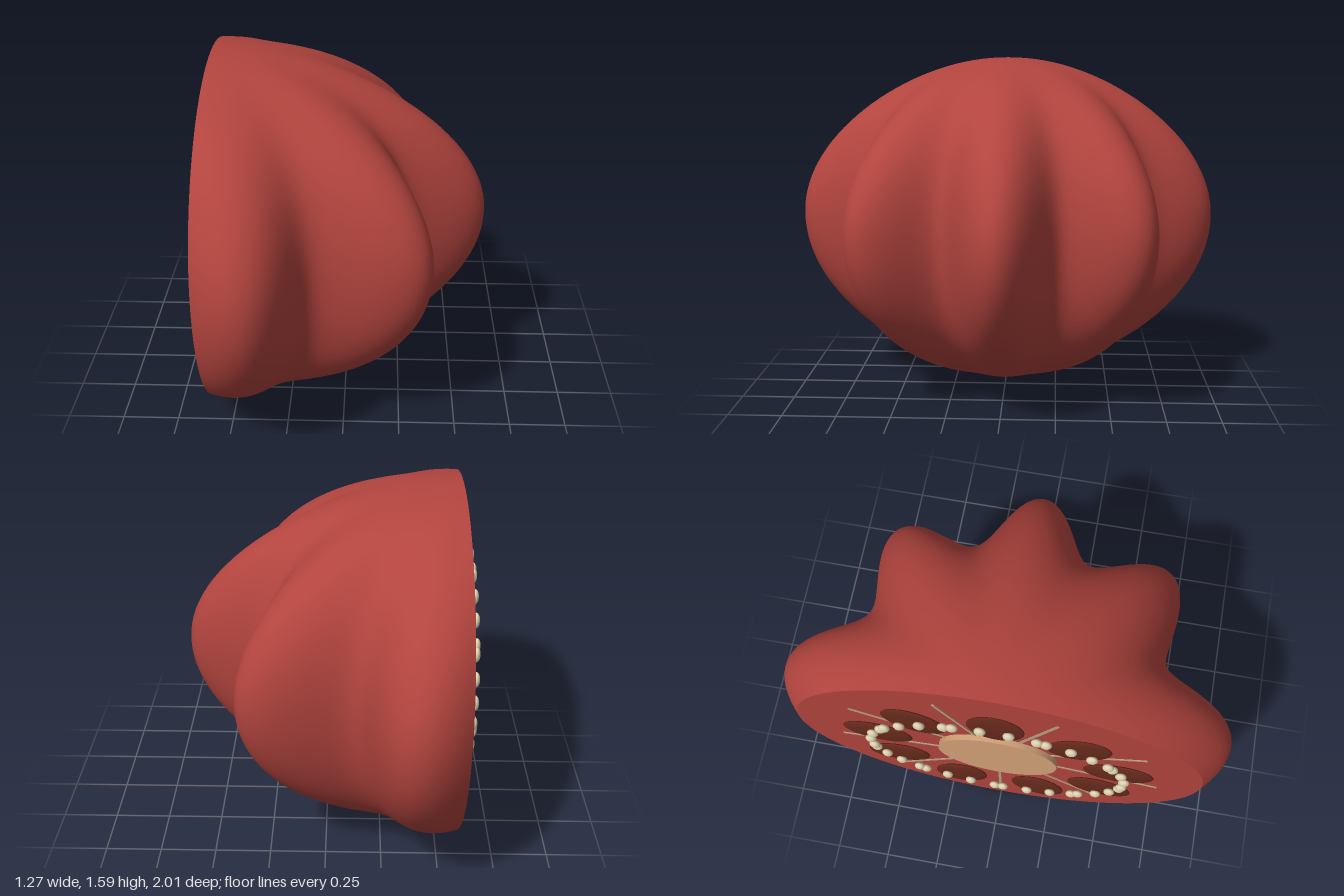
import * as THREE from 'three';

const CUT = -0.58;      // x of the cut face
const EQUATOR = 0.83;   // height of the widest ring
const CORE_Y = 0.8;     // centre of the cut pattern
const LOBES = 9;

const mat = (name, color) => {
  const m = new THREE.MeshStandardMaterial({ color });
  m.name = name;
  return m;
};

// Point on the lobed skin: phi from top pole to bottom pole, theta around
function skinPoint(phi, theta) {
  const s = Math.sin(phi), c = Math.cos(phi);
  const r = s * (1 + 0.13 * s * s * Math.cos(LOBES * theta));
  return [
    CUT + 1.07 * r * Math.cos(theta),
    EQUATOR + (c > 0 ? 0.76 : 0.83) * c,
    0.9 * r * Math.sin(theta),
  ];
}

function skinGeometry(rows, cols) {
  const pos = [], index = [];
  for (let i = 0; i <= rows; i++) {
    for (let j = 0; j <= cols; j++) {
      pos.push(...skinPoint(Math.PI * i / rows, Math.PI * (j / cols - 0.5)));
    }
  }
  for (let i = 0; i < rows; i++) {
    for (let j = 0; j < cols; j++) {
      const a = i * (cols + 1) + j, b = a + cols + 1;
      if (i > 0) index.push(a, a + 1, b);
      if (i < rows - 1) index.push(a + 1, b + 1, b);
    }
  }
  const g = new THREE.BufferGeometry();
  g.setAttribute('position', new THREE.Float32BufferAttribute(pos, 3));
  g.setIndex(index);
  g.computeVertexNormals();
  return g;
}

// Flat face closing the half, facing -x
function cutGeometry(rows) {
  const pts = [];
  for (const side of [-1, 1]) {
    for (let i = 0; i < rows; i++) {
      const phi = Math.PI * (side < 0 ? i : rows - i) / rows;
      const p = skinPoint(phi, side * Math.PI / 2);
      pts.push(new THREE.Vector2(p[2], p[1]));
    }
  }
  return new THREE.ShapeGeometry(new THREE.Shape(pts)).rotateY(-Math.PI / 2);
}

export function createModel() {
  const group = new THREE.Group();
  const red = mat('red flesh', 0xb2443e);
  const dark = mat('dark pod', 0x66291c);
  const tan = mat('tan core', 0xd3a278);
  const cream = mat('cream seed', 0xdfd3b0);
  const rib = mat('brown rib', 0xb8a080);

  const add = (name, geometry, material, x = 0, y = 0, z = 0) => {
    const m = new THREE.Mesh(geometry, material);
    m.name = name;
    m.position.set(x, y, z);
    group.add(m);
    return m;
  };

  // Lobed half fruit
  add('skin', skinGeometry(64, 144), red);
  add('cutFace', cutGeometry(64), red, CUT);

  // Round core
  const disc = new THREE.CylinderGeometry(0.265, 0.265, 0.025, 48).rotateZ(Math.PI / 2);
  add('core', disc, tan, CUT - 0.0125, CORE_Y + 0.01, 0);

  const ball = new THREE.SphereGeometry(1, 24, 16);
  const seedBall = new THREE.SphereGeometry(1, 14, 10);
  const step = 2 * Math.PI / LOBES;
  for (let k = 0; k < LOBES; k++) {
    // Seed pods, long axis pointing outwards
    const a = Math.PI / 2 - k * step;
    const pod = add('pod', ball, dark, -0.597, CORE_Y + 0.475 * Math.sin(a), 0.54 * Math.cos(a));
    pod.scale.set(0.017, 0.12, 0.155);
    pod.rotation.x = -a;

    // Thin ribs between the pods
    const b = a - step / 2;
    const from = new THREE.Vector3(CUT - 0.001, CORE_Y + 0.24 * Math.sin(b), 0.24 * Math.cos(b));
    const to = new THREE.Vector3(CUT - 0.001, CORE_Y + 0.655 * Math.sin(b), 0.73 * Math.cos(b));
    const mid = from.clone().add(to).multiplyScalar(0.5);
    const bar = add('rib', new THREE.BoxGeometry(0.006, 0.013, from.distanceTo(to)), rib, mid.x, mid.y, mid.z);
    bar.rotation.x = -Math.atan2(to.y - from.y, to.z - from.z);

    // Four seeds around each pod: two on it, two beside the ribs
    for (const offset of [-18, -6, 6, 18]) {
      const t = a + THREE.MathUtils.degToRad(offset);
      const seed = add('seed', seedBall, cream, -0.621, CORE_Y + 0.485 * Math.sin(t), 0.565 * Math.cos(t));
      seed.scale.set(0.016, 0.034, 0.025);
    }
  }
  return group;
}
